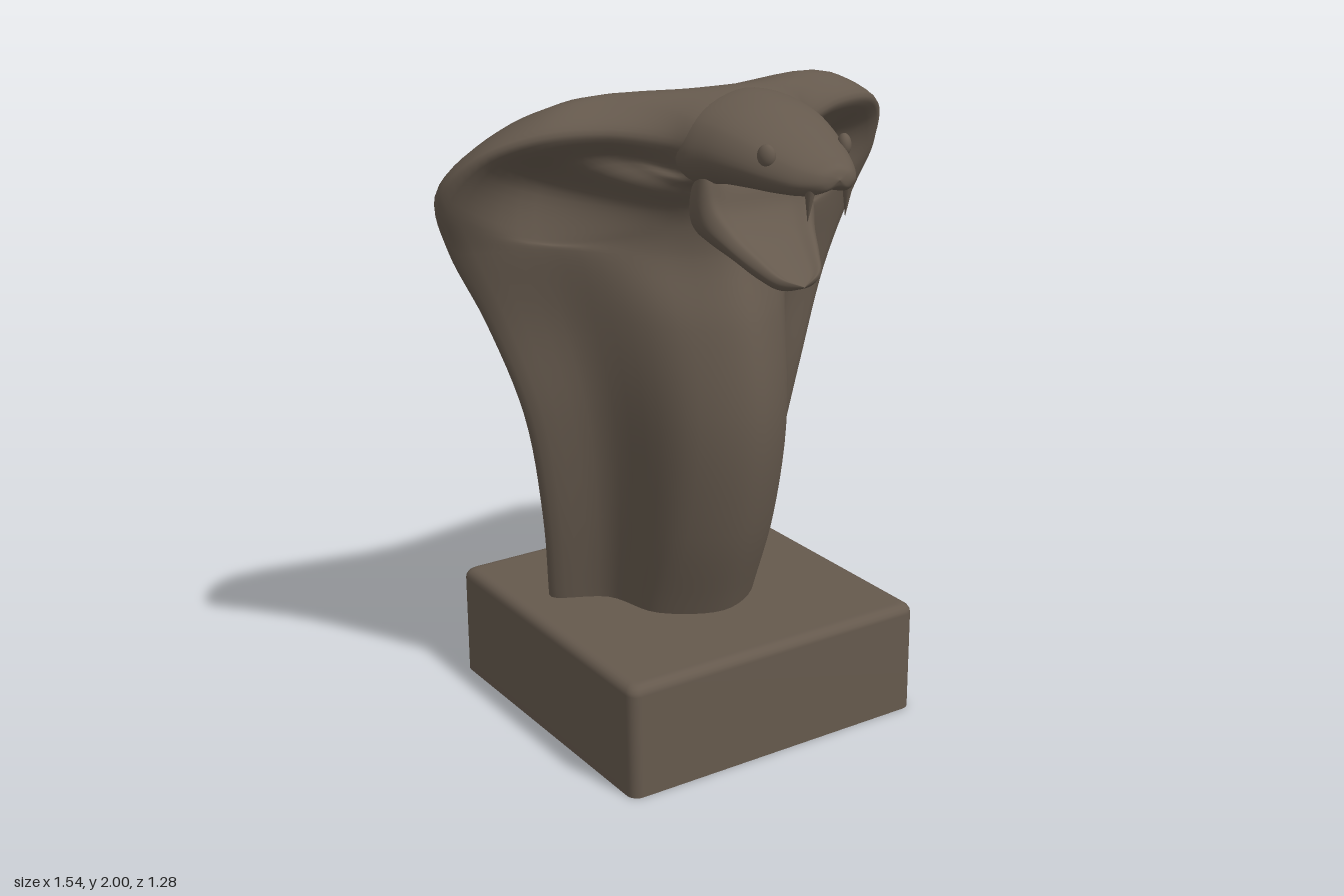
import * as THREE from 'three';

const V = (x, y, z) => new THREE.Vector3(x, y, z);

// Skin a list of closed rings (equal point counts) with smooth normals
function skin(rings) {
  const n = rings[0].length, pos = [], idx = [];
  rings.forEach(r => r.forEach(p => pos.push(p.x, p.y, p.z)));
  for (let j = 0; j < rings.length - 1; j++) {
    for (let i = 0; i < n; i++) {
      const a = j * n + i, b = j * n + (i + 1) % n;
      idx.push(a, b, a + n, b, b + n, a + n);
    }
  }
  const g = new THREE.BufferGeometry();
  g.setAttribute('position', new THREE.Float32BufferAttribute(pos, 3));
  g.setIndex(idx);
  g.computeVertexNormals();
  return g;
}

// Loft through half sections (first and last point on x = 0), mirrored in x
function loft(rows, steps = 6) {
  const guides = rows[0].map((_, k) => new THREE.CatmullRomCurve3(rows.map(r => r[k])));
  const count = (rows.length - 1) * steps, rings = [];
  for (let j = 0; j <= count; j++) {
    const half = guides.map(c => c.getPoint(j / count));
    const other = half.slice(1, -1).reverse().map(p => V(-p.x, p.y, p.z));
    const ring = new THREE.CatmullRomCurve3([...half, ...other], true);
    rings.push(ring.getPoints((half.length + other.length) * 6).slice(0, -1));
  }
  return skin(rings);
}

// Rounded square outline at height y, pulled in by inset
function squareRing(y, inset) {
  const h = 0.52 - inset, r = Math.max(0.035 - inset * 0.5, 0.005), pts = [];
  for (let c = 0; c < 4; c++) {
    const mid = Math.PI / 4 + c * Math.PI / 2;
    const cx = Math.sign(Math.cos(mid)) * (h - r), cz = Math.sign(Math.sin(mid)) * (h - r);
    for (let i = 0; i <= 5; i++) {
      const a = c * Math.PI / 2 + i / 5 * Math.PI / 2;
      pts.push(V(cx + r * Math.cos(a), y, -0.12 + cz + r * Math.sin(a)));
    }
  }
  return pts.reverse();
}

// Hood half section: throat, throat side, inner wing, wing tip, wing back, spine.
// The wing turns by tilt as it curls forward; d is its half thickness.
function hoodSection([throatY, throatZ, tipX, tipY, tipZ, spineY, spineZ, tilt, d]) {
  const curl = Math.min(11 * tilt, 2);
  const backX = tipX * (0.76 + 0.09 * Math.min(10 * tilt, 1));
  return [
    V(0, throatY, throatZ),
    V(Math.min(0.18, tipX * 0.7), throatY, throatZ - 0.1 + 0.08 * tilt),
    V(tipX * (0.62 + 0.2 * tilt), tipY - d * Math.sin(curl), tipZ + d * Math.cos(curl)),
    V(tipX, tipY, tipZ),
    V(backX, tipY + d * Math.sin(tilt), tipZ - d * Math.cos(tilt)),
    V(0, spineY, spineZ),
  ];
}

// Skull half section, from the roof of the mouth to the crown
function skullSection([z, w, top, bottom]) {
  const at = (x, s) => V(x * w, bottom + (top - bottom) * s, z);
  return [at(0, 0.08), at(0.7, 0), at(1, 0.32), at(0.8, 0.75), at(0, 1)];
}

// Jaw half section, from the chin line over the rim to the shallow hollow
function jawSection([topZ, topY, lowZ, lowY, w]) {
  const at = (x, s) => V(x * w, lowY + (topY - lowY) * s, lowZ + (topZ - lowZ) * s);
  return [at(0, 0), at(0.75, 0.15), at(1, 0.65), at(0.88, 1), at(0.55, 0.84), at(0, 0.78)];
}

export function createModel() {
  const group = new THREE.Group();
  const stone = new THREE.MeshStandardMaterial({ color: 0x65594d, side: THREE.DoubleSide });
  stone.name = 'brown stone';
  const add = (name, geometry) => {
    const m = new THREE.Mesh(geometry, stone);
    m.name = name;
    group.add(m);
    return m;
  };

  // Plinth, open underneath, with a rounded top edge
  const plinth = [squareRing(0, 0)];
  for (let i = 0; i <= 4; i++) {
    const a = i / 4 * Math.PI / 2;
    plinth.push(squareRing(0.326 + 0.03 * Math.sin(a), 0.03 * (1 - Math.cos(a))));
  }
  plinth.push(squareRing(0.356, 0.04), squareRing(0.356, 0.515));
  add('plinth', skin(plinth));

  // Neck rising into the spread hood, which narrows over the back of the skull
  add('neckAndHood', loft([
    [0.34, 0.10, 0.392, 0.34, -0.28, 0.34, -0.25, 0, 0.1],
    [0.65, 0.215, 0.435, 0.65, -0.23, 0.65, -0.22, 0, 0.105],
    [1.0, 0.275, 0.505, 1.0, -0.2, 1.0, -0.2, 0, 0.11],
    [1.3, 0.24, 0.61, 1.3, -0.22, 1.3, -0.23, 0, 0.125],
    [1.5, 0.17, 0.72, 1.53, -0.225, 1.53, -0.26, 0, 0.14],
    [1.59, 0.165, 0.77, 1.69, -0.18, 1.72, -0.23, 0.1, 0.145],
    [1.65, 0.17, 0.7, 1.82, -0.07, 1.88, -0.12, 0.35, 0.12],
    [1.7, 0.18, 0.56, 1.885, 0.04, 1.955, 0, 0.8, 0.1],
    [1.73, 0.19, 0.39, 1.89, 0.105, 1.98, 0.08, 1, 0.09],
    [1.75, 0.21, 0.245, 1.865, 0.185, 1.998, 0.18, 1.3, 0.09],
    [1.8, 0.28, 0.19, 1.845, 0.3, 1.955, 0.3, 1.4, 0.07],
  ].map(hoodSection)));

  // Skull and upper jaw: z, half width, top, bottom
  add('skull', loft([
    [0.02, 0.11, 1.93, 1.76], [0.12, 0.19, 1.97, 1.745], [0.2, 0.226, 1.994, 1.74],
    [0.3, 0.212, 1.982, 1.76], [0.4, 0.184, 1.95, 1.765], [0.5, 0.144, 1.905, 1.765],
    [0.58, 0.1, 1.867, 1.77], [0.625, 0.055, 1.845, 1.788], [0.638, 0.001, 1.816, 1.814],
  ].map(skullSection)));

  // Lower jaw: top z, y, bottom z, y, half width
  add('lowerJaw', loft([
    [0.14, 1.82, 0.04, 1.58, 0.11], [0.26, 1.8, 0.15, 1.56, 0.19],
    [0.29, 1.69, 0.23, 1.555, 0.19], [0.335, 1.62, 0.32, 1.525, 0.155],
    [0.41, 1.56, 0.40, 1.487, 0.115], [0.47, 1.515, 0.45, 1.47, 0.075],
    [0.492, 1.486, 0.491, 1.484, 0.001],
  ].map(jawSection)));

  // Eyes and fangs
  for (const s of [-1, 1]) {
    const side = s > 0 ? 'left' : 'right';
    const eye = add(side + 'Eye', new THREE.SphereGeometry(1, 20, 14));
    eye.scale.set(0.02, 0.032, 0.027);
    eye.position.set(s * 0.13, 1.868, 0.486);
    eye.rotation.y = s * -0.45;

    const fang = add(side + 'Fang', new THREE.ConeGeometry(0.018, 0.11, 12));
    fang.position.set(s * 0.063, 1.75, 0.588);
    fang.rotation.x = Math.PI + 0.1;
  }
  return group;
}
